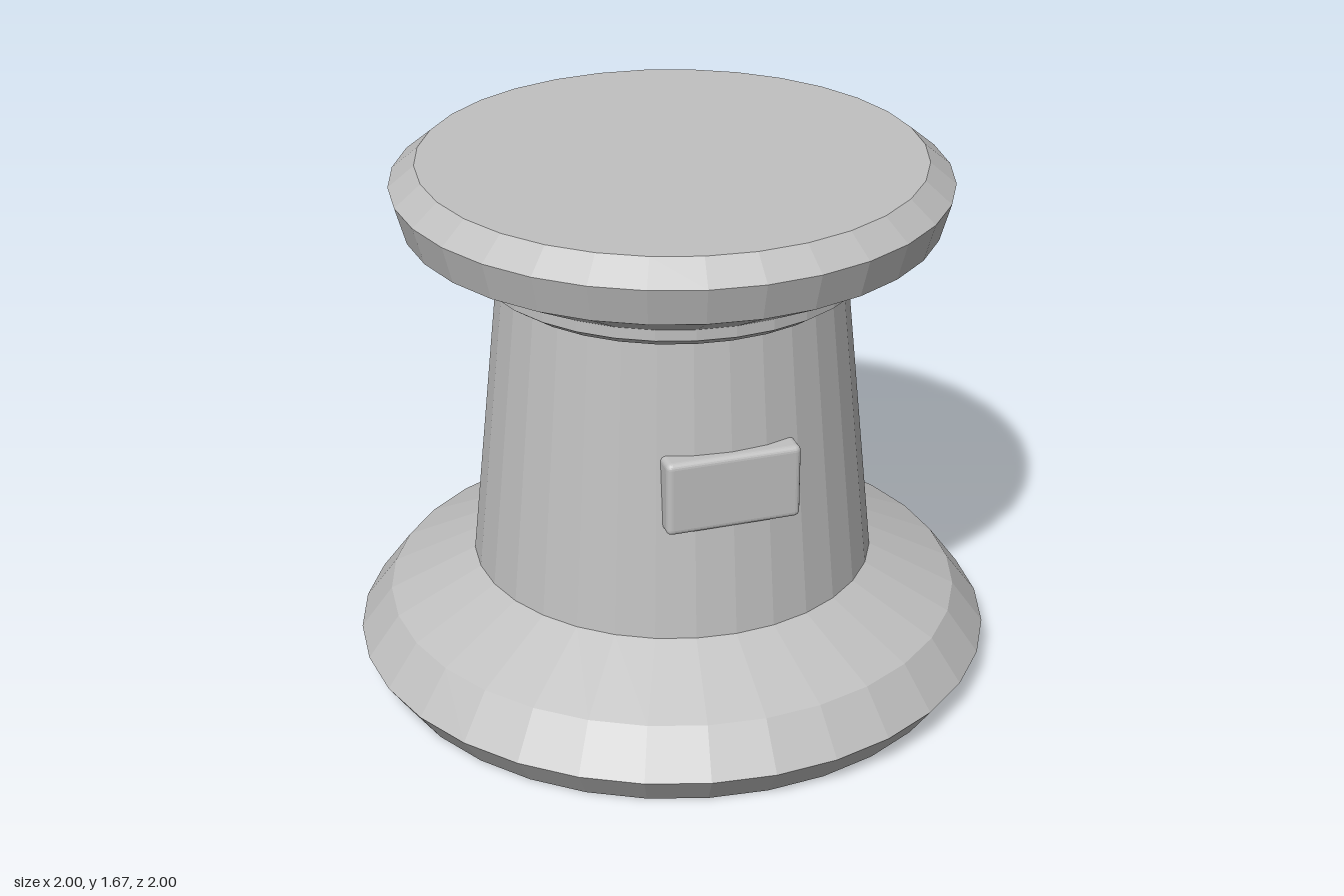
import * as THREE from 'three';
import { RoundedBoxGeometry } from 'three/addons/geometries/RoundedBoxGeometry.js';

const SIDES = 32;

export function createModel() {
  const group = new THREE.Group();
  const grey = new THREE.MeshStandardMaterial({ color: 0xc0c0c0 });
  grey.name = 'light grey';
  grey.flatShading = true;

  // Faceted ring turned from [radius, height] points, listed bottom to top
  const turned = (name, profile) => {
    const points = profile.map(([r, y]) => new THREE.Vector2(r, y));
    const mesh = new THREE.Mesh(new THREE.LatheGeometry(points, SIDES), grey);
    mesh.name = name;
    group.add(mesh);
  };

  // Flared foot, tapered column, thin collar and bevelled head
  turned('base', [[0, 0], [0.93, 0], [1, 0.1], [0.9, 0.235], [0.63, 0.368]]);
  turned('column', [[0.63, 0.368], [0.535, 1.305]]);
  turned('collar', [[0.535, 1.305], [0.557, 1.305], [0.6, 1.335], [0.6, 1.37]]);
  turned('head', [[0.6, 1.37], [0.815, 1.485], [0.848, 1.602], [0.768, 1.668], [0, 1.668]]);

  // Blank plate with rounded edges, partly sunk into the front of the column
  const plate = new THREE.Mesh(new RoundedBoxGeometry(0.415, 0.235, 0.1, 3, 0.018), grey);
  plate.name = 'frontPlate';
  plate.position.set(0, 0.835, 0.551);
  group.add(plate);

  return group;
}
